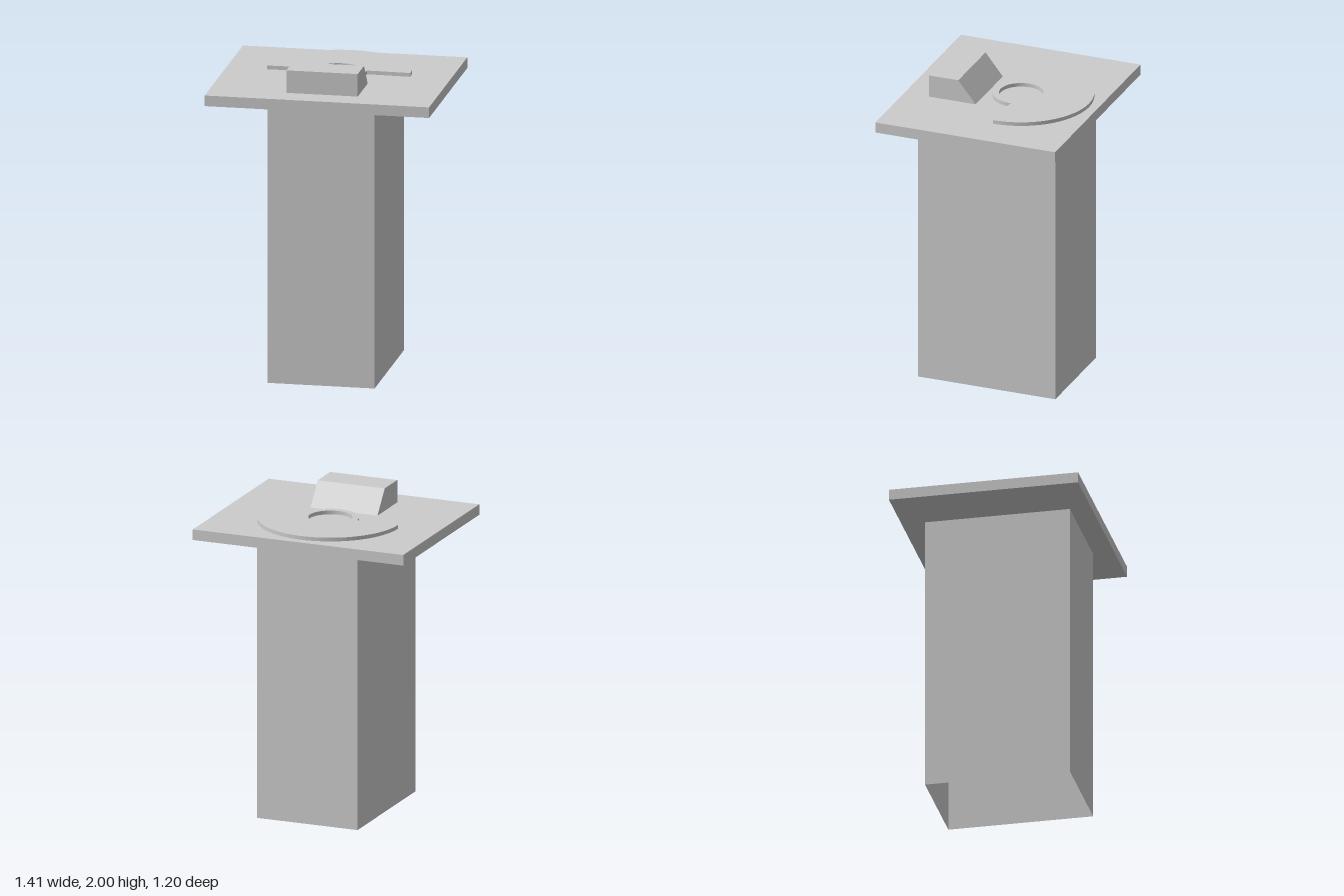
import * as THREE from 'three';

const material = new THREE.MeshStandardMaterial({ color: 0xcccccc, flatShading: true });
const openMaterial = new THREE.MeshStandardMaterial({ color: 0xcccccc, flatShading: true, side: THREE.DoubleSide });

function part(name, geometry, mat = material) {
  const mesh = new THREE.Mesh(geometry, mat);
  mesh.name = name;
  return mesh;
}

export function createModel() {
  const model = new THREE.Group();
  model.name = 'pedestal';

  // Thin-walled rectangular column, open at the bottom
  const column = new THREE.CylinderGeometry(Math.SQRT1_2, Math.SQRT1_2, 1, 4, 1, true, Math.PI / 4);
  column.scale(0.674, 1.79, 0.916);
  column.translate(0, 0.895, 0.007);
  model.add(part('column', column, openMaterial));

  // Overhanging top plate
  const plate = new THREE.BoxGeometry(1.414, 0.068, 1.196);
  plate.translate(0, 1.822, 0);
  model.add(part('topPlate', plate));

  // Raised half disc that narrows to a ring around a round opening
  const outer = 0.452, ring = 0.178, hole = 0.137, tilt = 0.015;
  const shape = new THREE.Shape();
  shape.absarc(0, 0, outer, -tilt, Math.PI + tilt, false);
  shape.absarc(0, 0, ring, Math.PI, Math.PI * 2, false);
  shape.closePath();
  const opening = new THREE.Path();
  opening.absarc(0, 0, hole, 0, Math.PI * 2, true);
  shape.holes.push(opening);
  const disc = new THREE.ExtrudeGeometry(shape, { depth: 0.024, bevelEnabled: false, curveSegments: 28 });
  disc.rotateX(-Math.PI / 2);
  disc.translate(0, 1.856, -0.088);
  model.add(part('halfDisc', disc));

  // Block with a sloping back face, profile drawn in (-z, y)
  const profile = new THREE.Shape([
    [-0.437, 1.856], [-0.125, 1.856], [-0.24, 2], [-0.437, 2],
  ].map(([a, b]) => new THREE.Vector2(a, b)));
  const block = new THREE.ExtrudeGeometry(profile, { depth: 0.45, bevelEnabled: false });
  block.translate(0, 0, -0.225);
  block.rotateY(Math.PI / 2);
  model.add(part('slopedBlock', block));

  return model;
}
